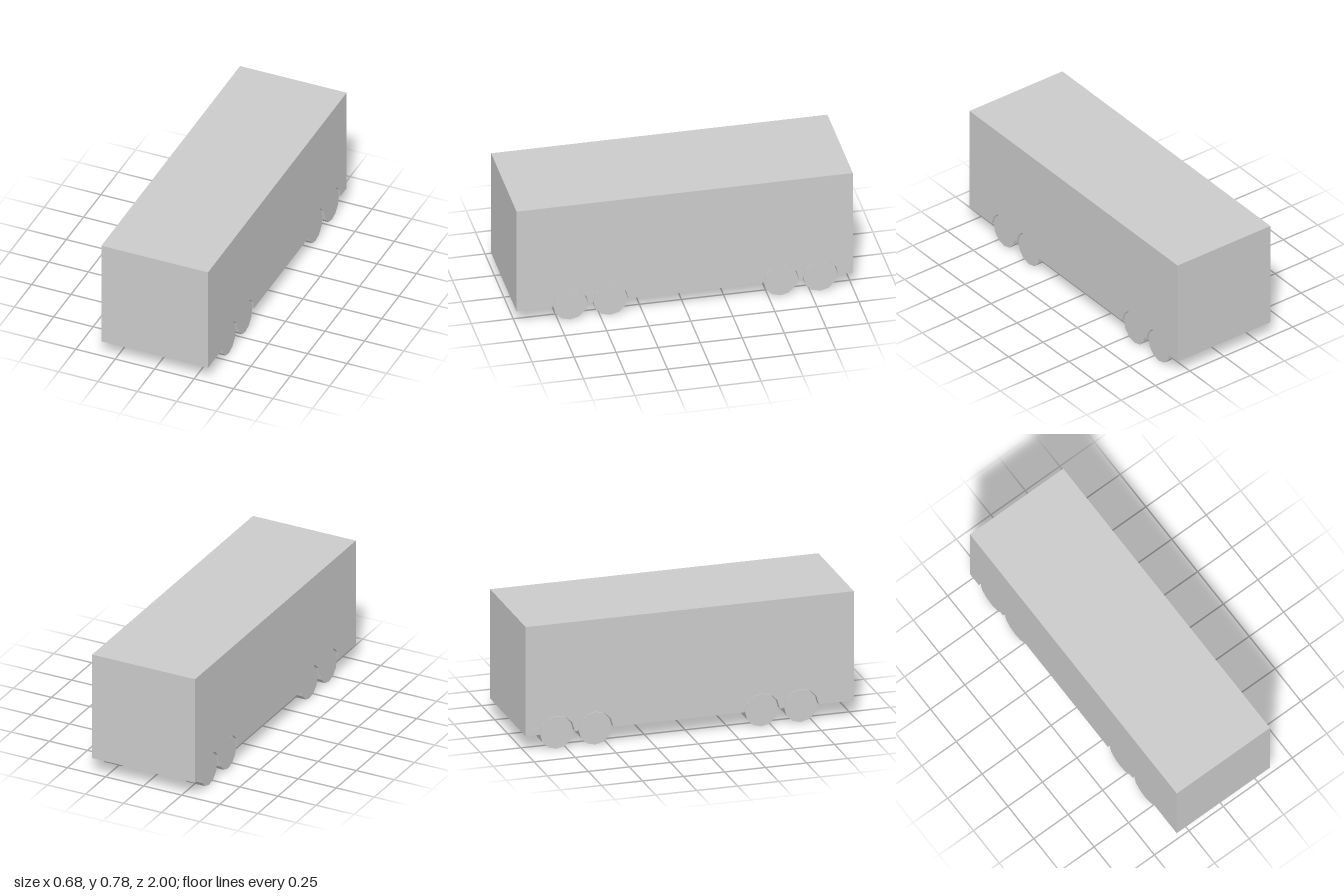
import * as THREE from 'three';

const W = 0.338, TOP = 0.776, BASE = 0.101, L = 1;   // body half width, roof, floor, half length
const WHEEL_R = 0.101, WHEEL_IN = 0.212, WHEEL_OUT = 0.329;
const ARCH_R = 0.107, ARCH_IN = 0.206;
const AXLES = [0.679, 0.441, -0.573, -0.808];
const SIDES = 12;

// Flat polygons collected into one geometry, each wound to face the given direction
function createPanels() {
  const positions = [];
  const a = new THREE.Vector3(), b = new THREE.Vector3();
  return {
    add(outline, place, facing) {
      const points = outline.map(([u, v]) => place(u, v));
      const flat = outline.map(([u, v]) => new THREE.Vector2(u, v));
      for (const [i, j, k] of THREE.ShapeUtils.triangulateShape(flat, [])) {
        a.subVectors(points[j], points[i]);
        b.subVectors(points[k], points[i]);
        const order = a.cross(b).dot(facing) > 0 ? [i, j, k] : [i, k, j];
        order.forEach((n) => positions.push(...points[n].toArray()));
      }
    },
    build() {
      const geometry = new THREE.BufferGeometry();
      geometry.setAttribute('position', new THREE.Float32BufferAttribute(positions, 3));
      geometry.computeVertexNormals();
      return geometry;
    },
  };
}

const vec = (x, y, z) => new THREE.Vector3(x, y, z);

// Upper half of a wheel arch as [z, y] points, front to back
function archPoints(z) {
  return Array.from({ length: SIDES / 2 + 1 }, (_, i) => {
    const t = (i / SIDES) * Math.PI * 2;
    return [z + ARCH_R * Math.cos(t), BASE + ARCH_R * Math.sin(t)];
  });
}

function bodyGeometry() {
  const panels = createPanels();
  const arches = AXLES.map(archPoints);

  // Roof and end walls
  panels.add([[-W, -L], [W, -L], [W, L], [-W, L]], (x, z) => vec(x, TOP, z), vec(0, 1, 0));
  for (const s of [1, -1]) {
    panels.add([[-W, BASE], [W, BASE], [W, TOP], [-W, TOP]], (x, y) => vec(x, y, s * L), vec(0, 0, s));
  }

  // Side walls with the arches cut out, and the lining of each arch
  const wall = [[L, TOP], [L, BASE], ...arches.flat(), [-L, BASE], [-L, TOP]];
  for (const s of [1, -1]) {
    panels.add(wall, (z, y) => vec(s * W, y, z), vec(s, 0, 0));
    arches.forEach((arch, n) => {
      panels.add(arch, (z, y) => vec(s * ARCH_IN, y, z), vec(s, 0, 0));
      for (let i = 0; i < arch.length - 1; i++) {
        const [p, q] = [arch[i], arch[i + 1]];
        const inward = vec(0, BASE - (p[1] + q[1]) / 2, AXLES[n] - (p[0] + q[0]) / 2);
        panels.add([[ARCH_IN, 0], [W, 0], [W, 1], [ARCH_IN, 1]],
          (x, t) => vec(s * x, THREE.MathUtils.lerp(p[1], q[1], t), THREE.MathUtils.lerp(p[0], q[0], t)),
          inward);
      }
    });
  }

  // Floor, notched where the arches open
  const edge = [[W, L]];
  for (const z of AXLES) {
    edge.push([W, z + ARCH_R], [ARCH_IN, z + ARCH_R], [ARCH_IN, z - ARCH_R], [W, z - ARCH_R]);
  }
  edge.push([W, -L]);
  const mirrored = edge.map(([x, z]) => [-x, z]).reverse();
  panels.add([...edge, ...mirrored], (x, z) => vec(x, BASE, z), vec(0, -1, 0));

  return panels.build();
}

export function createModel() {
  const model = new THREE.Group();
  model.name = 'boxTrailer';
  const material = new THREE.MeshStandardMaterial({ color: 0xcccccc, flatShading: true });

  const body = new THREE.Mesh(bodyGeometry(), material);
  body.name = 'body';
  model.add(body);

  // Four wheels on each side, in two pairs
  const wheelGeometry = new THREE.CylinderGeometry(WHEEL_R, WHEEL_R, WHEEL_OUT - WHEEL_IN, SIDES);
  wheelGeometry.rotateZ(Math.PI / 2);
  for (const [side, s] of [['left', 1], ['right', -1]]) {
    AXLES.forEach((z, i) => {
      const wheel = new THREE.Mesh(wheelGeometry, material);
      wheel.name = `${side}Wheel${i + 1}`;
      wheel.position.set(s * (WHEEL_IN + WHEEL_OUT) / 2, WHEEL_R, z);
      model.add(wheel);
    });
  }
  return model;
}
